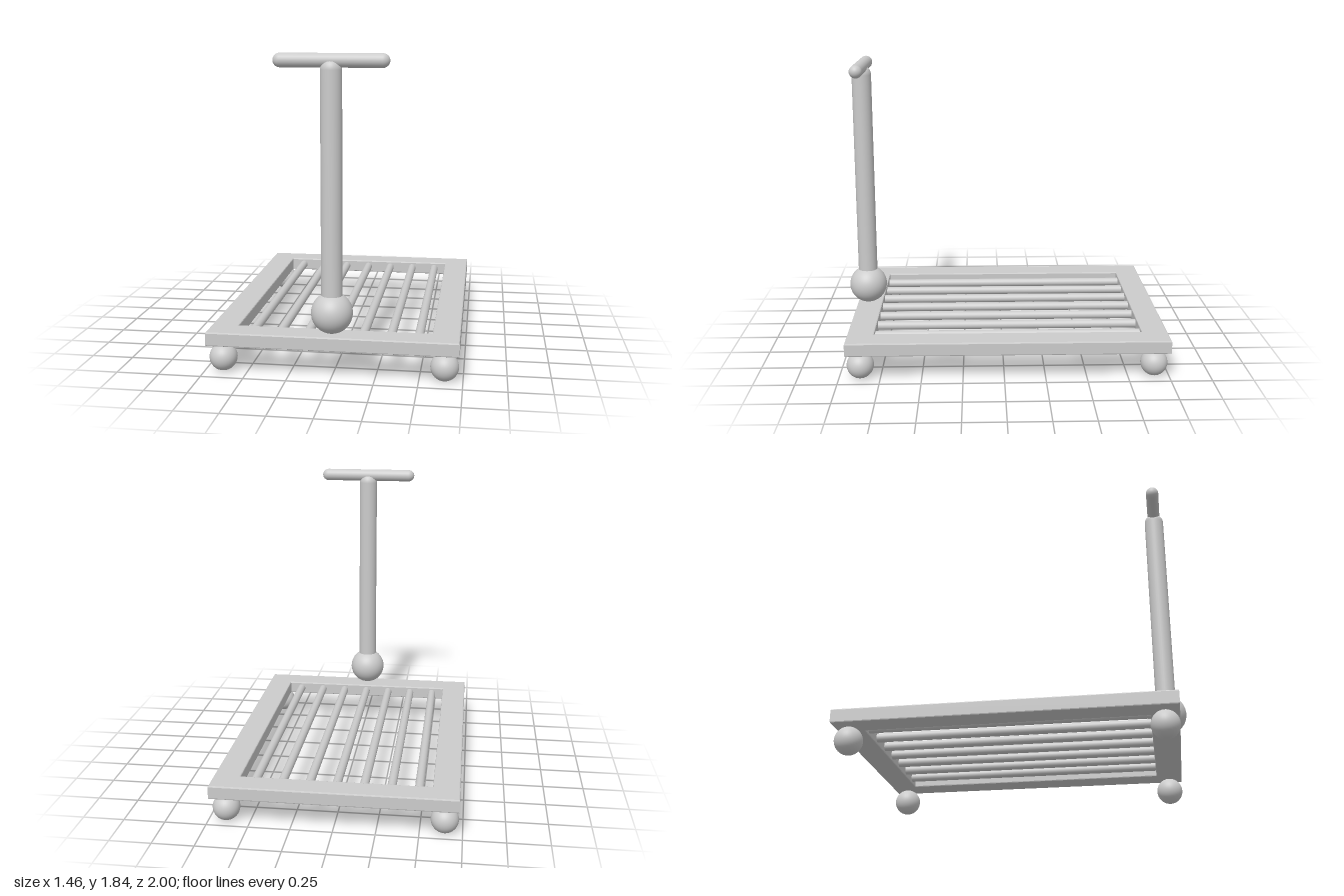
import * as THREE from 'three';

const material = new THREE.MeshStandardMaterial({ color: 0xcccccc });

function createPart(parent, name, geometry, x, y, z) {
  const mesh = new THREE.Mesh(geometry, material);
  mesh.name = name;
  mesh.position.set(x, y, z);
  parent.add(mesh);
  return mesh;
}

// Rectangle path from opposite corners
function rectangle(path, x0, y0, x1, y1) {
  path.moveTo(x0, y0);
  path.lineTo(x1, y0);
  path.lineTo(x1, y1);
  path.lineTo(x0, y1);
  path.closePath();
  return path;
}

export function createModel() {
  const model = new THREE.Group();
  model.name = 'slattedCart';

  // Deck frame with one large opening and softened edges
  const bevel = 0.007, bottom = 0.167, top = 0.25;
  const outline = rectangle(new THREE.Shape(), -0.73, -0.953, 0.73, 1.0);
  outline.holes.push(rectangle(new THREE.Path(), -0.57, -0.79, 0.57, 0.842));
  const frame = new THREE.ExtrudeGeometry(outline, {
    depth: top - bottom - 2 * bevel,
    bevelThickness: bevel, bevelSize: bevel, bevelOffset: -bevel, bevelSegments: 2,
  });
  frame.rotateX(-Math.PI / 2);
  createPart(model, 'deckFrame', frame, 0, bottom + bevel, 0);

  // Round slats running front to back
  const slats = new THREE.Group();
  slats.name = 'slats';
  model.add(slats);
  const slat = new THREE.CylinderGeometry(0.027, 0.027, 1.68, 24).rotateX(Math.PI / 2);
  for (let i = -3; i <= 3; i++) createPart(slats, 'slat', slat, i * 0.163, 0.208, -0.026);

  // Ball wheels under the corners
  const wheel = new THREE.SphereGeometry(0.082, 32, 24);
  for (const x of [-0.645, 0.645]) {
    createPart(model, 'frontWheel', wheel, x, 0.083, 0.87);
    createPart(model, 'rearWheel', wheel, x, 0.083, -0.91);
  }

  // Steering column: ball joint, round-topped post and crossbar
  const column = new THREE.Group();
  column.name = 'steeringColumn';
  column.position.z = 0.88;
  model.add(column);
  createPart(column, 'ballJoint', new THREE.SphereGeometry(0.12, 40, 28), 0, 0.378, 0);
  createPart(column, 'post', new THREE.CapsuleGeometry(0.061, 1.32, 10, 32), 0, 1.095, 0);
  const bar = new THREE.CapsuleGeometry(0.04, 0.57, 10, 24).rotateZ(Math.PI / 2);
  createPart(column, 'handleBar', bar, 0, 1.805, 0);

  return model;
}
